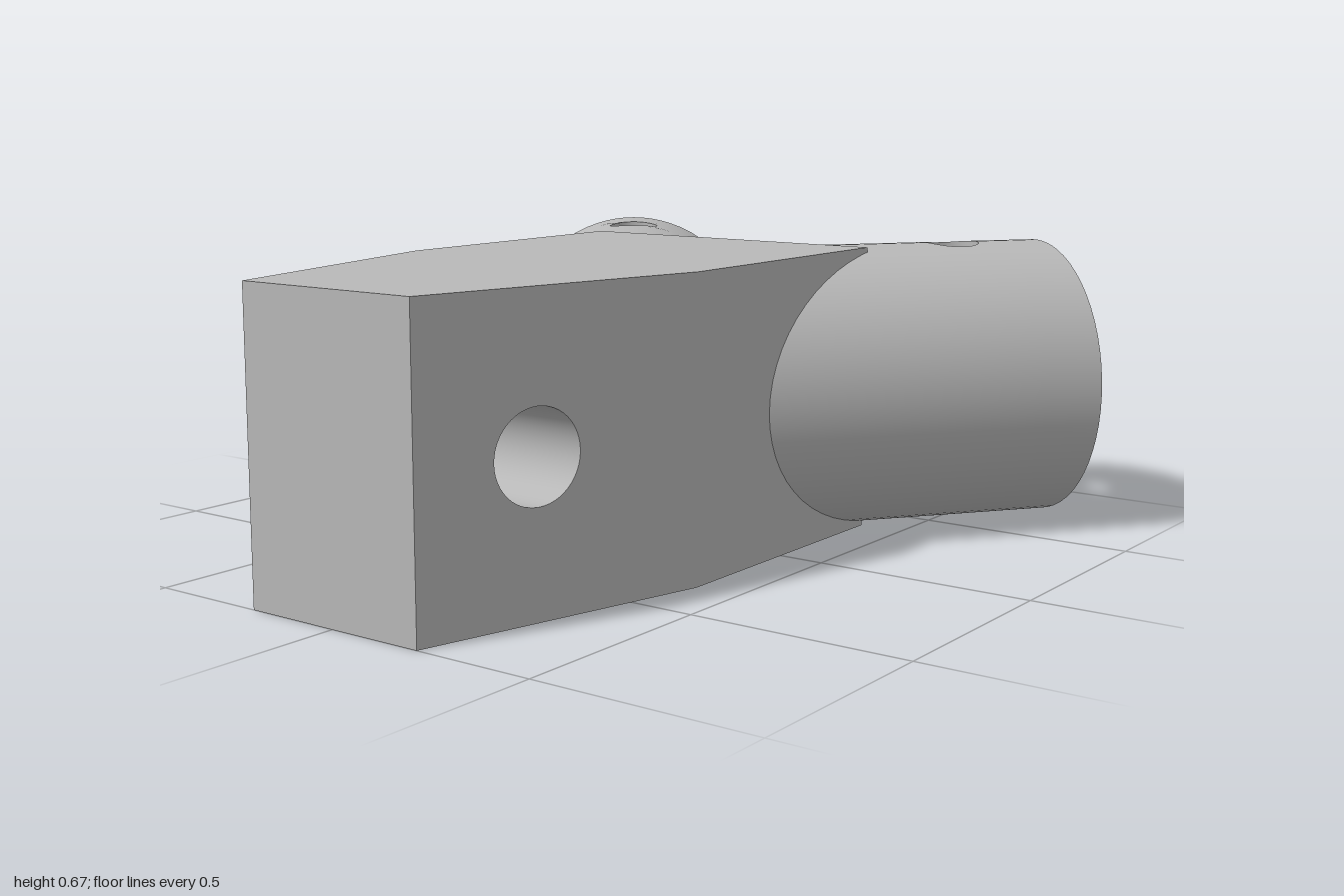
import * as THREE from 'three';
import { mergeGeometries, toCreasedNormals } from 'three/addons/utils/BufferGeometryUtils.js';

const H = 0.667, MID = H / 2;              // overall height and centre line
const RO = 0.333, RI = 0.237;              // socket outer and bore radius
const PIN = 0.064, PIN_S = 0.23, PATCH = 0.1; // socket pin hole: radius, distance from mouth, patch half size
const X0 = -1, X1 = -0.33, X2 = 0.36;      // block: narrow end, shoulder, wide end
const Z0 = 0.225, Z1 = 0.395;              // block half widths
const { lerp } = THREE.MathUtils;

const metal = new THREE.MeshStandardMaterial({ color: 0xb8b8b8, side: THREE.DoubleSide });
metal.name = 'grey metal';

// Grid surface from fn(u, v) -> [x, y, z]
function grid(fn, nu, nv, flip = false) {
  const g = new THREE.PlaneGeometry(1, 1, nu, nv);
  const p = g.attributes.position, uv = g.attributes.uv;
  for (let i = 0; i < p.count; i++) {
    const u = uv.getX(i);
    p.setXYZ(i, ...fn(flip ? 1 - u : u, uv.getY(i)));
  }
  return g;
}

function finish(parts, name) {
  const mesh = new THREE.Mesh(toCreasedNormals(mergeGeometries(parts), 0.6), metal);
  mesh.name = name;
  return mesh;
}

// Flat shape from [a, b] points, each placed in space by fn(a, b)
function face(points, fn, hole) {
  const shape = new THREE.Shape(points.map(([a, b]) => new THREE.Vector2(a, b)));
  if (hole) shape.holes.push(hole);
  const g = new THREE.ShapeGeometry(shape, 24), p = g.attributes.position;
  for (let i = 0; i < p.count; i++) p.setXYZ(i, ...fn(p.getX(i), p.getY(i)));
  return g;
}

// Tapered block, open where the sockets run into it
function makeBlock() {
  const width = x => (x < X1 ? lerp(Z0, Z1, (x - X0) / (X1 - X0)) : Z1);
  const parts = [];
  const outline = [[X0, -Z0], [X1, -Z1], [X2, -Z1], [X2, Z1], [X1, Z1], [X0, Z0]];
  parts.push(face(outline, (x, z) => [x, H, -z]));
  parts.push(face(outline, (x, z) => [x, 0, z]));
  parts.push(face([[-Z0, 0], [Z0, 0], [Z0, H], [-Z0, H]], (z, y) => [X0, y, z]));

  // Straight flank: the cut follows the oblique socket, inside its wall
  const flank = [[X2, H], [X1, H], [X1, 0], [X2, 0]];
  const cutEnd = Math.acos((X2 - 0.507) / 0.5);
  for (let i = 0; i <= 32; i++) {
    const a = -lerp(cutEnd, 2 * Math.PI - cutEnd, i / 32);
    flank.push([0.507 + 0.5 * Math.cos(a), MID + 0.3 * Math.sin(a)]);
  }
  // Strip left above the sockets on the wide end
  const strip = [[-Z1, H], [Z1, H]];
  for (let i = 0; i <= 40; i++) {
    const z = lerp(Z1, -Z1, i / 40);
    strip.push([z, MID + 0.3 * Math.sqrt(1 - ((Math.abs(z) - 0.29) / 0.375) ** 2)]);
  }

  for (const s of [1, -1]) {
    const hole = new THREE.Path().absarc(-0.725, MID, 0.1, 0, Math.PI * 2, true);
    parts.push(face([[X0, 0], [X1, 0], [X1, H], [X0, H]],
      (x, y) => [s * s * x, s > 0 ? y : H - y, s * width(x)], hole));
    parts.push(face(flank, (x, y) => [x, s > 0 ? y : H - y, s * Z1]));
    parts.push(face(strip, (z, y) => [X2, s > 0 ? y : H - y, -s * z]));
  }
  // Cross hole lining
  parts.push(grid((u, v) => {
    const a = u * Math.PI * 2, x = -0.725 + 0.1 * Math.cos(a);
    return [x, MID + 0.1 * Math.sin(a), width(x) * (1 - 2 * v)];
  }, 48, 1));
  return finish(parts, 'taperedBlock');
}

// Hollow angled socket with a vertical pin hole; the back is mitred on z = 0
function makeSocket() {
  const at = (r, t, s) => [
    0.8 - 0.8 * s + 0.6 * r * Math.sin(t),
    MID + r * Math.cos(t),
    0.62 - 0.6 * s - 0.8 * r * Math.sin(t)];
  const mitre = (r, t) => (0.62 - 0.8 * r * Math.sin(t)) / 0.6;
  const phi = r => Math.asin(PATCH / r);
  // Angle of step i of 64, in two halves of 8 steps over a hole and 24 beside it
  const theta = (r, i) => {
    const j = i % 32, base = Math.PI * Math.floor(i / 32), f = phi(r);
    return base + (j <= 8 ? lerp(-f, f, j / 8) : lerp(f, Math.PI - f, (j - 8) / 24));
  };
  // Square ring closing in on the round pin hole
  const patch = (r, u, v, centre) => {
    const k = Math.min(3, Math.floor(u * 4)), f = (u * 4 - k) * 2 - 1;
    const [px, py] = [[1, f], [-f, 1], [-1, -f], [f, -1]][k];
    const a = Math.atan2(py, px);
    return at(r, centre + lerp(phi(r) * px, Math.asin(PIN * Math.cos(a) / r), v),
      PIN_S + lerp(PATCH * py, PIN * Math.sin(a), v));
  };

  const near = PIN_S - PATCH, far = PIN_S + PATCH, parts = [];
  for (const r of [RO, RI]) {
    const flip = r === RI;
    const step = u => theta(r, Math.round(u * 64));
    parts.push(grid((u, v) => at(r, step(u), near * v), 64, 1, flip));
    parts.push(grid((u, v) => at(r, step(u), lerp(far, mitre(r, step(u)), v)), 64, 4, flip));
    for (const c of [0, Math.PI]) {
      const f = phi(r);
      parts.push(grid((u, v) => at(r, c + lerp(f, Math.PI - f, u), lerp(near, far, v)), 24, 8, flip));
      parts.push(grid((u, v) => patch(r, u, v, c), 32, 4, flip));
    }
  }
  // Mouth rim and pin hole linings
  parts.push(grid((u, v) => {
    const r = v < 0.5 ? RI : RO;
    return at(r, theta(r, Math.round(u * 64)), 0);
  }, 64, 1));
  for (const c of [0, Math.PI])
    parts.push(grid((u, v) => patch(v < 0.5 ? RO : RI, u, 1, c), 32, 1));
  return finish(parts, 'socket');
}

export function createModel() {
  const model = new THREE.Group();
  model.name = 'forkedTubeConnector';
  const front = makeSocket();
  front.name = 'frontSocket';
  const back = front.clone();
  back.name = 'backSocket';
  back.scale.z = -1;
  model.add(makeBlock(), front, back);
  return model;
}
